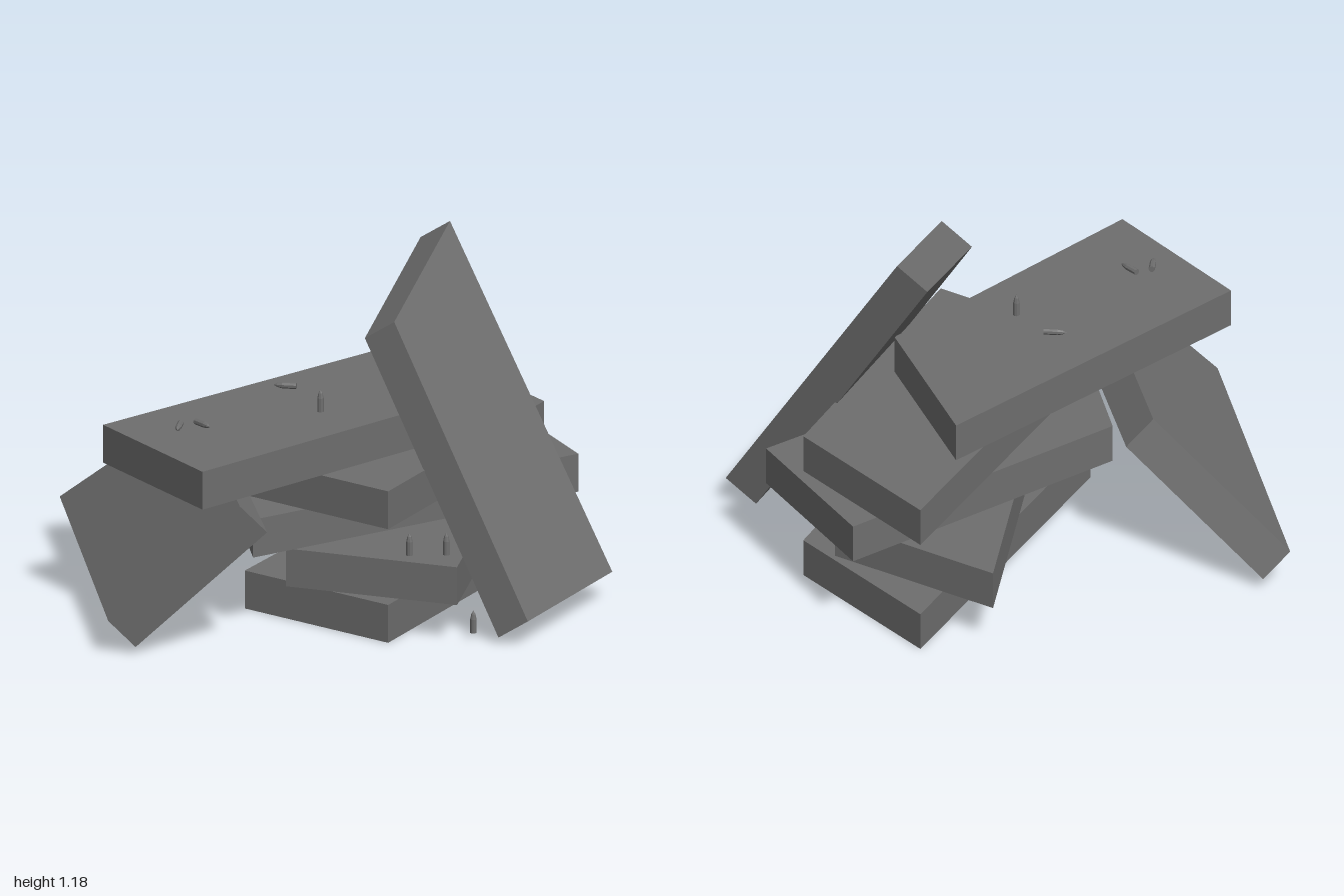
import * as THREE from 'three';

const material = new THREE.MeshStandardMaterial({ color: 0x6e6e6e, flatShading: true });
const THICK = 0.134;

// Every slab is the same irregular four-sided plate, with corner A at the origin.
const outline = new THREE.Shape([
  [0, 0], [1.295, -0.185], [1.097, 0.425], [0, 0.61],
].map(([x, y]) => new THREE.Vector2(x, y)));
const slabGeometry = new THREE.ExtrudeGeometry(outline, { depth: THICK, bevelEnabled: false });

// Places a slab by corner A, a point along its long side and a point along its short side.
function slab(name, a, b, d) {
  const [A, B, D] = [a, b, d].map((p) => new THREE.Vector3(...p));
  const y = D.sub(A).normalize();
  const x = B.sub(A);
  x.addScaledVector(y, -x.dot(y)).normalize();
  const z = new THREE.Vector3().crossVectors(x, y);
  const mesh = new THREE.Mesh(slabGeometry, material);
  mesh.name = name;
  mesh.quaternion.setFromRotationMatrix(new THREE.Matrix4().makeBasis(x, y, z));
  mesh.position.copy(A);
  return mesh;
}

// Bullet: rimmed case with a pointed tip, standing along +y.
const bulletGeometry = new THREE.LatheGeometry([
  [0, 0], [0.011, 0], [0.011, 0.048], [0.007, 0.066], [0, 0.078],
].map(([r, y]) => new THREE.Vector2(r, y)), 8);

function bullet(name, base, direction) {
  const mesh = new THREE.Mesh(bulletGeometry, material);
  mesh.name = name;
  mesh.position.set(...base);
  mesh.quaternion.setFromUnitVectors(
    new THREE.Vector3(0, 1, 0), new THREE.Vector3(...direction).normalize());
  return mesh;
}

export function createModel() {
  const model = new THREE.Group();
  model.name = 'slabPile';

  // Stacked slabs, bottom to top: corners A, B and D as [x, z]
  const stack = [
    [[-0.32, -0.025], [0.975, -0.21], [-0.32, 0.585]],
    [[-0.37, 0.19], [0.8, -0.385], [-0.18, 0.77]],
    [[0.72, 0.59], [-0.515, 0.165], [1.0, 0.045]],
    [[-0.32, -0.025], [0.975, -0.21], [-0.32, 0.585]],
    [[-0.66, -0.365], [0.62, -0.12], [-0.859, 0.212]],
  ];
  stack.forEach((corners, i) => {
    const top = (i + 1) * THICK;
    model.add(slab(`stackedSlab${i + 1}`, ...corners.map(([x, z]) => [x, top, z])));
  });

  // Slabs leaning against the stack
  model.add(slab('frontLeaningSlab', [0.497, 0.023, 0.782], [0.547, 1.103, 0.047], [-0.103, 0.023, 0.887]));
  model.add(slab('backLeaningSlab', [-1, 0.12, -0.08], [-0.08, 0.135, -1], [-0.76, 0.535, 0.29]));

  // Standing bullets
  [[-0.11, 0.675, 0.135], [-0.19, 0.275, 0.575], [-0.11, 0.275, 0.67], [-0.11, 0.022, 0.785]]
    .forEach((base, i) => model.add(bullet(`standingBullet${i + 1}`, base, [0, 1, 0])));

  // Bullets lying on the top slab
  [
    [[-0.575, 0.708, -0.1], [-0.07, 0, 0.038]],
    [[-0.53, 0.708, -0.07], [-0.018, 0, 0.07]],
    [[-0.02, 0.708, -0.037], [-0.037, 0, -0.07]],
  ].forEach(([base, dir], i) => model.add(bullet(`lyingBullet${i + 1}`, base, dir)));

  return model;
}
